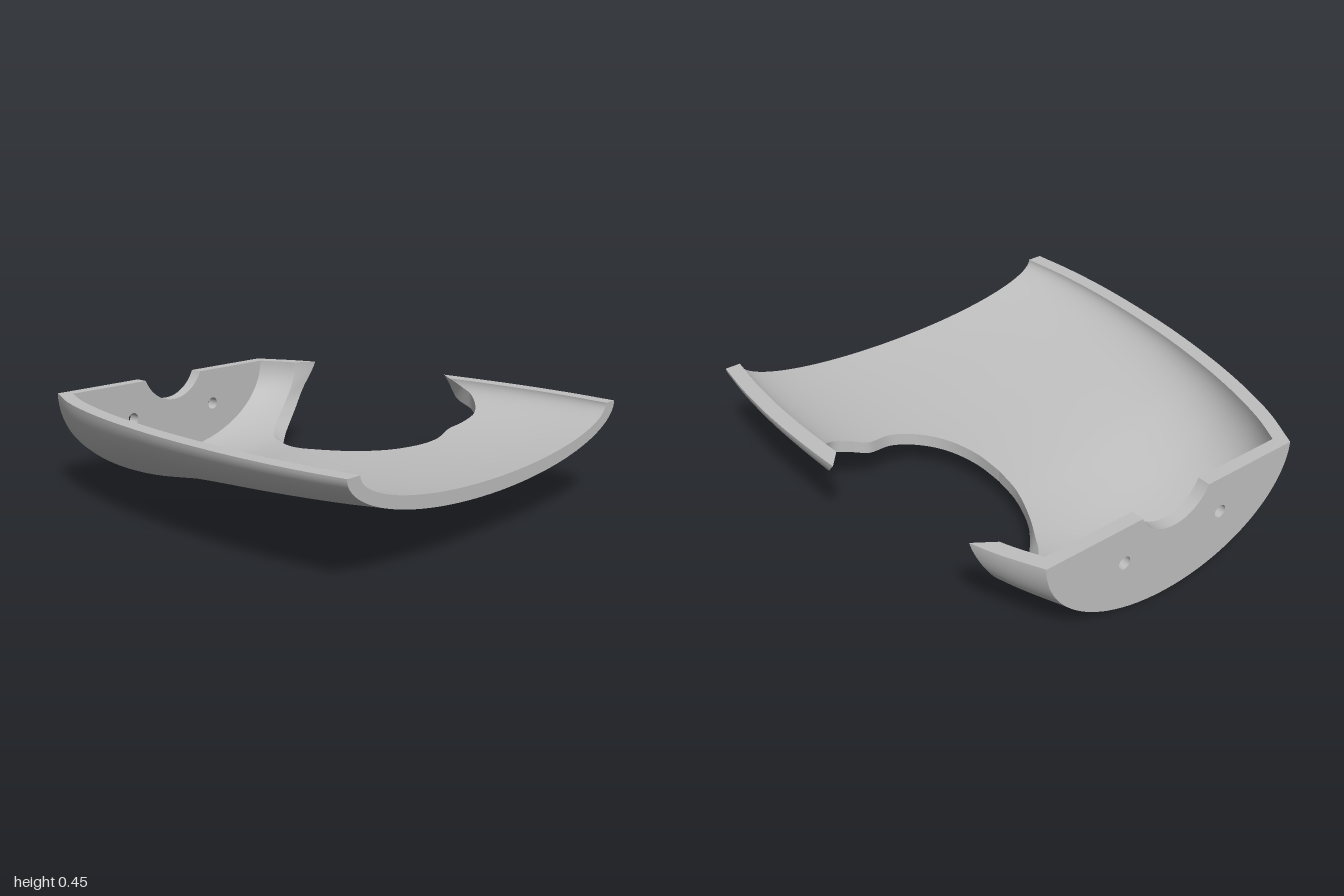
import * as THREE from 'three';

const TOP = 0.45, WALL = 0.06, RIM = 0.072;

// Half-width at the rim and height of the keel along the length
const widthCurve = new THREE.CubicInterpolant(
  [-1, -0.8, -0.6, -0.4, -0.2, 0, 0.3, 0.55, 0.8, 1],
  [0.662, 0.757, 0.823, 0.872, 0.908, 0.935, 0.957, 0.962, 0.95, 0.927], 1);
const keelCurve = new THREE.CubicInterpolant(
  [-1, -0.8, -0.6, -0.4, -0.2, 0, 0.4, 0.8, 1],
  [0.002, 0.005, 0.022, 0.055, 0.09, 0.115, 0.152, 0.19, 0.213], 1);

const halfWidth = (x, inner) => widthCurve.evaluate(x)[0] - (inner ? RIM : 0);
const depth = (x, inner) => TOP - keelCurve.evaluate(x)[0] - (inner ? WALL : 0);

// Point on the outer or inner skin; angle runs from the front rim (0) to the back rim (PI)
function skin(x, angle, inner) {
  return new THREE.Vector3(x, TOP - depth(x, inner) * Math.sin(angle),
    halfWidth(x, inner) * Math.cos(angle));
}

// Surface from a rule f(u, v) -> Vector3
function sheet(f, nu, nv, flip) {
  const pos = [], index = [];
  for (let j = 0; j <= nv; j++) {
    for (let i = 0; i <= nu; i++) pos.push(...f(i / nu, j / nv).toArray());
  }
  for (let j = 0; j < nv; j++) {
    for (let i = 0; i < nu; i++) {
      const a = j * (nu + 1) + i, b = a + 1, c = a + nu + 1, d = c + 1;
      if (flip) index.push(a, d, b, a, c, d);
      else index.push(a, b, d, a, d, c);
    }
  }
  const g = new THREE.BufferGeometry();
  g.setAttribute('position', new THREE.Float32BufferAttribute(pos, 3));
  g.setIndex(index);
  g.computeVertexNormals();
  return g;
}

// Cutout edge, from plan points (x, z) to a smooth curve of (x, angle)
function cutEdge(points, inner) {
  const curve = new THREE.SplineCurve(points.map(([x, z]) => new THREE.Vector2(
    x, Math.acos(Math.max(-1, z / halfWidth(x, inner))))));
  return (t) => {
    const p = curve.getPoint(t);
    p.y = Math.min(p.y, Math.PI);
    return p;
  };
}

const rightStart = [[-0.1, -0.195], [0.05, -0.21], [0.2, -0.27], [0.3, -0.37],
  [0.34, -0.48], [0.32, -0.6], [0.345, -0.68]];
const leftStart = [[-0.1, -0.195], [-0.25, -0.21]];
const edges = {
  outer: {
    left: cutEdge([...leftStart, [-0.4, -0.265], [-0.52, -0.355], [-0.6, -0.44],
      [-0.67, -0.54], [-0.72, -0.65], [-0.74, -0.74], [-0.70, -2]], false),
    right: cutEdge([...rightStart, [0.35, -0.78], [0.27, -0.86], [0.14, -0.905], [0.04, -2]], false),
  },
  inner: {
    left: cutEdge([...leftStart, [-0.4, -0.262], [-0.52, -0.325], [-0.61, -0.38],
      [-0.68, -0.46], [-0.72, -0.54], [-0.75, -0.63], [-0.765, -2]], true),
    right: cutEdge([...rightStart, [0.35, -0.77], [0.27, -0.855], [0.2, -0.872], [0.12, -2]], true),
  },
};

export function createModel() {
  const group = new THREE.Group();
  const grey = new THREE.MeshStandardMaterial({ color: 0xbfbfbf, side: THREE.DoubleSide });
  grey.name = 'grey';
  const add = (name, geometry) => {
    const mesh = new THREE.Mesh(geometry, grey);
    mesh.name = name;
    group.add(mesh);
    return mesh;
  };
  const lerp = THREE.MathUtils.lerp;

  // Outer and inner skins: a whole front part plus a part on each side of the cutout
  for (const side of ['outer', 'inner']) {
    const inner = side === 'inner', x0 = inner ? -1 + WALL : -1;
    const { left, right } = edges[side];
    const start = left(0).y;
    add(side + 'SkinFront', sheet((u, v) => skin(lerp(x0, 1, u), start * v, inner), 64, 48, !inner));
    add(side + 'SkinBackLeftEnd', sheet((u, v) => {
      const p = left(v);
      return skin(lerp(x0, p.x, u), p.y, inner);
    }, 32, 64, !inner));
    add(side + 'SkinBackRightEnd', sheet((u, v) => {
      const p = right(v);
      return skin(lerp(p.x, 1, u), p.y, inner);
    }, 32, 80, !inner));
  }

  // Thickness faces around the cutout
  for (const end of ['left', 'right']) {
    add(end + 'CutoutWall', sheet((u, v) => {
      const a = edges.outer[end](v), b = edges.inner[end](v);
      return skin(a.x, a.y, false).lerp(skin(b.x, b.y, true), u);
    }, 1, 80, end === 'right'));
  }

  // Flat rim strips; outer and inner x ranges differ beside the cutout
  const rim = (name, outer, inner, angle) => add(name, sheet((u, v) =>
    skin(lerp(outer[0], outer[1], u), angle, false)
      .lerp(skin(lerp(inner[0], inner[1], u), angle, true), v), 64, 1, angle > 0));
  rim('frontRim', [-1, 1], [-1, 1], 0);
  rim('backRimShort', [-1, -0.70], [-1, -0.765], Math.PI);
  rim('backRimLong', [0.04, 1], [0.12, 1], Math.PI);

  // Edge of the open end
  add('openEndEdge', sheet((u, v) =>
    skin(1, Math.PI * u, false).lerp(skin(1, Math.PI * u, true), v), 64, 1, true));

  // Closed end wall with a notch and two screw holes
  const w = halfWidth(-1, false), d = depth(-1, false);
  const notchR = 0.197, notchY = 0.53, notchA = Math.asin((notchY - TOP) / notchR);
  const shape = new THREE.Shape();
  shape.moveTo(-w, TOP);
  shape.absellipse(0, TOP, w, d, Math.PI, Math.PI * 2, false);
  shape.absarc(0, notchY, notchR, -notchA, -Math.PI + notchA, true);
  shape.closePath();
  for (const s of [-1, 1]) {
    const hole = new THREE.Path();
    hole.absarc(s * 0.265, 0.272, 0.03, 0, Math.PI * 2, true);
    shape.holes.push(hole);
  }
  const wall = new THREE.ExtrudeGeometry(shape, { depth: WALL, bevelEnabled: false, curveSegments: 48 });
  wall.rotateY(Math.PI / 2);
  add('endWall', wall).position.x = -1;

  return group;
}
